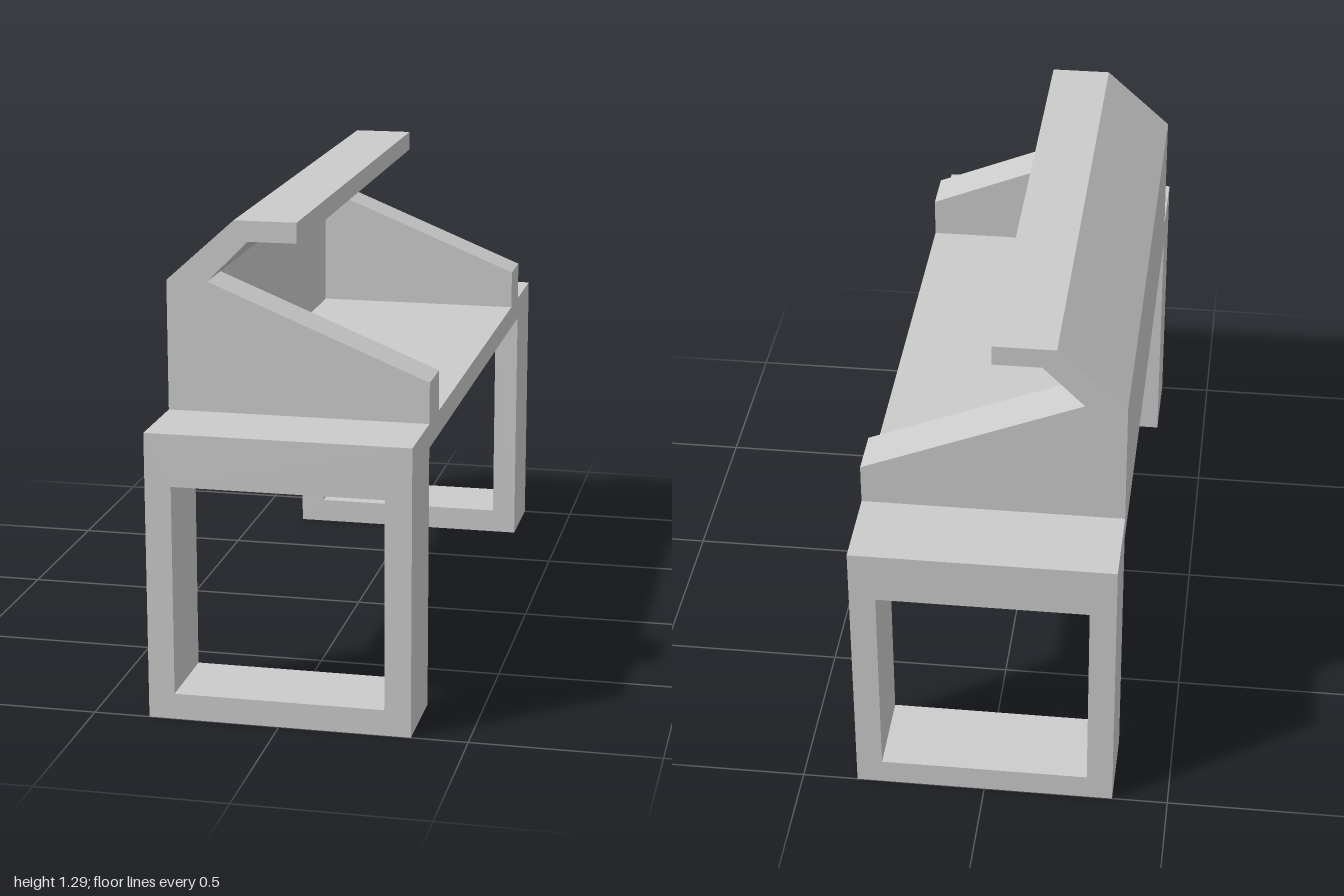
import * as THREE from 'three';

const material = new THREE.MeshStandardMaterial({ color: 0xcccccc, flatShading: true });

const HALF_WIDTH = 0.35;   // depth of the bench along x
const LEG_INNER = 0.765;   // z where the leg frames begin
const SIDE_INNER = 0.63;   // z of the inner face of the cheeks
const DECK_TOP = 0.775;

const outline = (pts) => pts.map(([x, y]) => new THREE.Vector2(x, y));

// Extrude an x-y profile between two z positions
function slab(name, pts, z0, z1, hole) {
  const shape = new THREE.Shape(outline(pts));
  if (hole) shape.holes.push(new THREE.Path(outline(hole)));
  const geometry = new THREE.ExtrudeGeometry(shape, { depth: z1 - z0, bevelEnabled: false });
  geometry.translate(0, 0, z0);
  const mesh = new THREE.Mesh(geometry, material);
  mesh.name = name;
  return mesh;
}

const rect = (x0, y0, x1, y1) => [[x0, y0], [x1, y0], [x1, y1], [x0, y1]];

export function createModel() {
  const model = new THREE.Group();
  model.name = 'bench';

  // Open square leg frames and sloping cheeks, one of each per end
  const frame = rect(-HALF_WIDTH, 0, HALF_WIDTH, DECK_TOP);
  const opening = rect(-0.28, 0.07, 0.28, 0.635);
  const cheek = [[-0.24, DECK_TOP], [HALF_WIDTH, DECK_TOP], [HALF_WIDTH, 0.885], [-0.24, 1.125]];
  for (const [side, s] of [['left', 1], ['right', -1]].map(([n, d]) => [n === 'left' ? 'front' : 'back', d])) {
    const span = (a, b) => (s > 0 ? [a, b] : [-b, -a]);
    model.add(slab(`${side}LegFrame`, frame, ...span(LEG_INNER, 1), opening));
    model.add(slab(`${side}Cheek`, cheek, ...span(SIDE_INNER, LEG_INNER)));
  }

  // Thin deck spanning the two frames
  model.add(slab('deck', rect(-HALF_WIDTH, 0.71, HALF_WIDTH, DECK_TOP), -LEG_INNER, LEG_INNER));

  // Upright wall that bends over into a hood
  model.add(slab('wallAndHood', [
    [-HALF_WIDTH, DECK_TOP], [-0.24, DECK_TOP], [-0.24, 1.125], [-0.13, 1.235],
    [0, 1.235], [0, 1.29], [-0.167, 1.29], [-HALF_WIDTH, 1.125],
  ], -LEG_INNER, LEG_INNER));

  return model;
}
